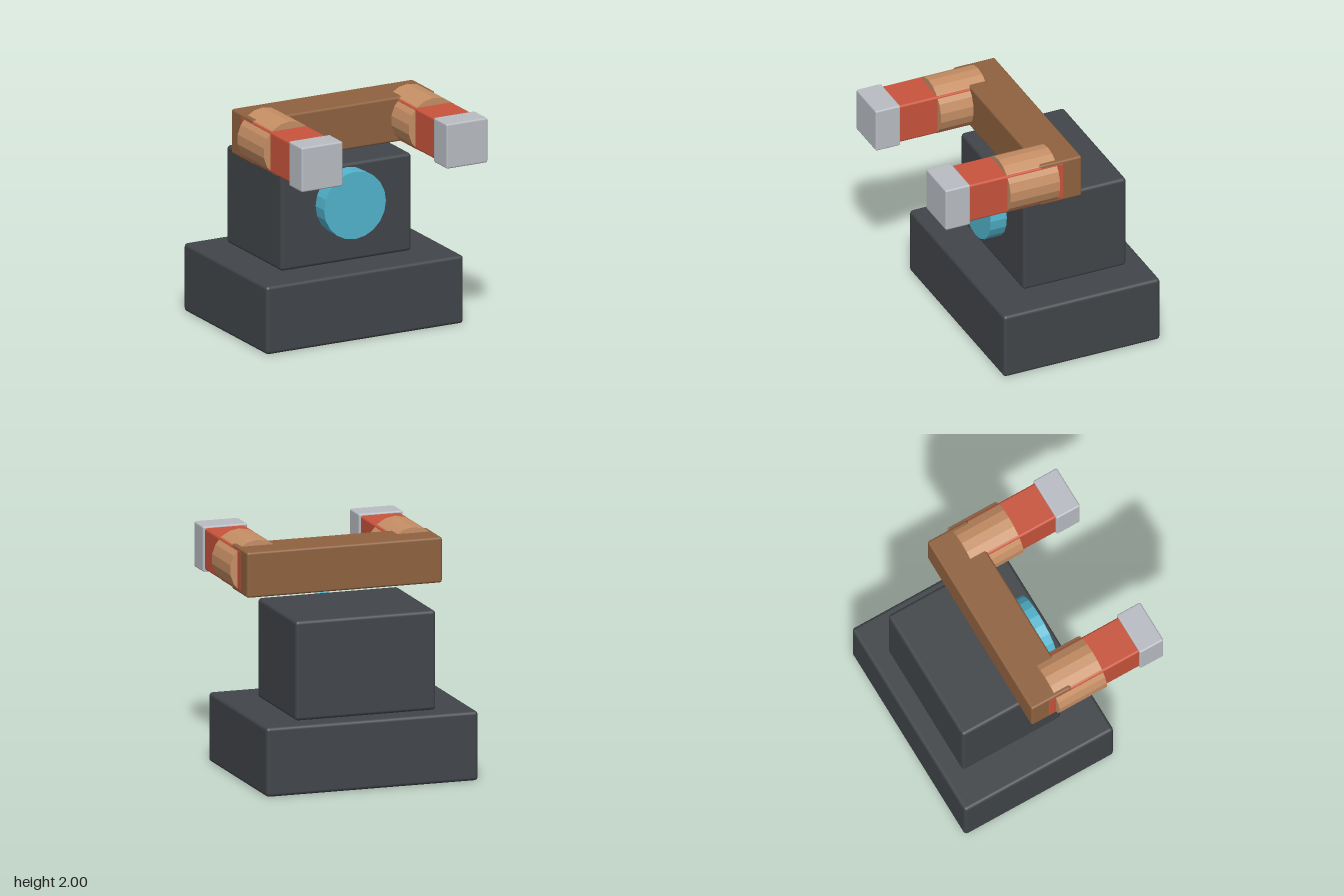
import * as THREE from 'three';
import { RoundedBoxGeometry } from 'three/addons/geometries/RoundedBoxGeometry.js';

function material(name, color) {
  const m = new THREE.MeshStandardMaterial({ color });
  m.name = name;
  return m;
}

// Softly bevelled box given by its min and max corners
function box(name, mat, min, max, bevel) {
  const size = max.map((v, i) => v - min[i]);
  const mesh = new THREE.Mesh(new RoundedBoxGeometry(...size, 3, bevel), mat);
  mesh.position.set(...max.map((v, i) => (v + min[i]) / 2));
  mesh.name = name;
  return mesh;
}

// Faceted drum lying along z
function drum(name, mat, x, y, radius, sides, back, front) {
  const geo = new THREE.CylinderGeometry(radius, radius, front - back, sides).toNonIndexed();
  geo.computeVertexNormals();
  geo.rotateX(Math.PI / 2);
  const mesh = new THREE.Mesh(geo, mat);
  mesh.position.set(x, y, (front + back) / 2);
  mesh.name = name;
  return mesh;
}

export function createModel() {
  const charcoal = material('charcoal', 0x414549);
  const cyan = material('cyan', 0x53b5ce);
  const brown = material('brown', 0x8f623f);
  const copper = material('copper', 0xc68f65);
  const red = material('red', 0xc8543c);
  const silver = material('silver', 0xb9bdc3);

  const model = new THREE.Group();
  model.name = 'model';

  // Stacked body and round front lens
  model.add(
    box('base', charcoal, [-0.945, 0, -0.98], [0.945, 0.597, 0.468], 0.03),
    box('body', charcoal, [-0.625, 0.597, -0.815], [0.625, 1.455, 0.14], 0.03),
    drum('lens', cyan, 0, 1.128, 0.296, 20, 0.05, 0.29),
    box('crossbar', brown, [-0.87, 1.56, -0.288], [0.87, 1.952, 0.1], 0.02)
  );

  // Arms: forearm, collar and tip on each side
  for (const side of [-1, 1]) {
    const arm = new THREE.Group();
    arm.name = side > 0 ? 'leftArm' : 'rightArm';
    const x = side * 0.694;
    arm.add(
      box('forearm', red, [x - 0.179, 1.576, -0.13], [x + 0.179, 1.936, 0.8], 0.02),
      drum('collar', copper, x, 1.755, 0.245, 18, -0.055, 0.403),
      box('tip', silver, [x - 0.197, 1.56, 0.753], [x + 0.197, 1.952, 0.983], 0.015)
    );
    model.add(arm);
  }
  return model;
}
